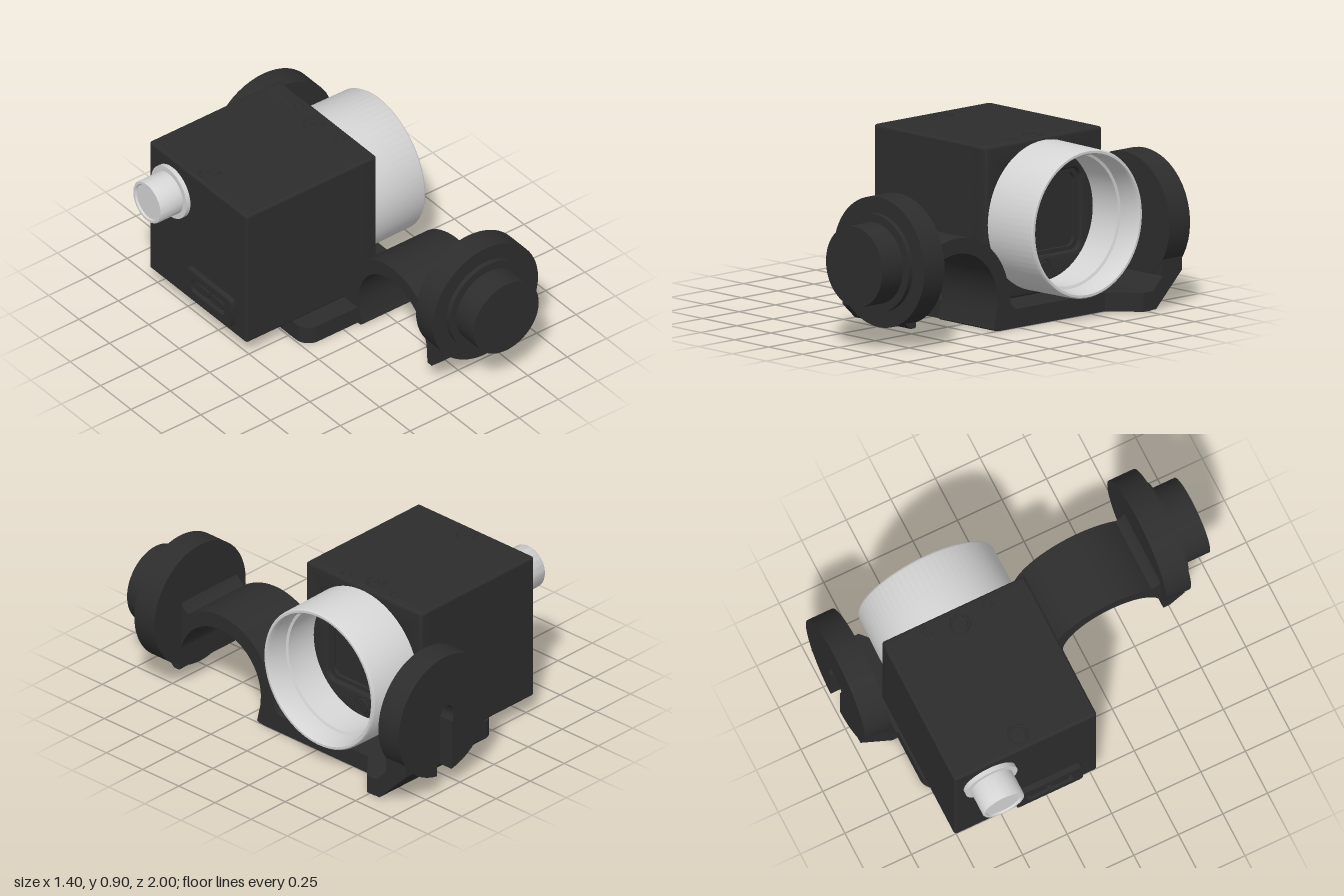
import * as THREE from 'three';
import { toCreasedNormals } from 'three/addons/utils/BufferGeometryUtils.js';
import { RoundedBoxGeometry } from 'three/addons/geometries/RoundedBoxGeometry.js';

const H = Math.PI / 2;

export function createModel() {
  const root = new THREE.Group();
  const black = new THREE.MeshStandardMaterial({ color: 0x2d2d2d });
  black.name = 'matte black';
  const silver = new THREE.MeshStandardMaterial({ color: 0xd4d4d4 });
  silver.name = 'silver metal';

  const add = (name, geo, mat = black, x = 0, y = 0, z = 0, parent = root) => {
    const m = new THREE.Mesh(geo, mat);
    m.name = name;
    m.position.set(x, y, z);
    parent.add(m);
    return m;
  };
  const extrude = (shape, depth, bevel = 0) => toCreasedNormals(new THREE.ExtrudeGeometry(shape, {
    depth: depth - 2 * bevel, curveSegments: 24, bevelEnabled: bevel > 0,
    bevelSize: bevel, bevelThickness: bevel, bevelOffset: -bevel, bevelSegments: 3,
  }).translate(0, 0, bevel), 0.6);
  // Profile in [z, y], extruded from x0 to x1
  const profileX = (pts, x0, x1) =>
    extrude(new THREE.Shape(pts.map(([z, y]) => new THREE.Vector2(-z, y))), x1 - x0).rotateY(H).translate(x0, 0, 0);
  const discZ = (r, z0, z1) =>
    new THREE.CylinderGeometry(r, r, z1 - z0, 64).rotateX(H).translate(0, 0, (z0 + z1) / 2);
  // Turned profile in [radius, x]
  const latheX = (pts) => toCreasedNormals(
    new THREE.LatheGeometry(pts.map(([r, x]) => new THREE.Vector2(r, x)), 72).rotateZ(-H), 0.6);
  const roundRect = (w, h, r, P = THREE.Shape) => {
    const s = new P(), a = w / 2 - r, b = h / 2 - r;
    s.absarc(a, b, r, 0, H);
    s.absarc(-a, b, r, H, 2 * H);
    s.absarc(-a, -b, r, 2 * H, 3 * H);
    s.absarc(a, -b, r, 3 * H, 4 * H);
    s.closePath();
    return s;
  };

  // Camera body, with a window pocket in the lens end
  add('body', new RoundedBoxGeometry(0.785, 0.8, 0.8, 3, 0.015), black, -0.1425, 0.5, -0.375);
  const face = roundRect(0.8, 0.8, 0.016);
  face.holes.push(roundRect(0.5, 0.42, 0.05, THREE.Path));
  add('lensPlate', extrude(face, 0.115, 0.015).rotateY(H), black, 0.18, 0.5, -0.375);
  const frame = roundRect(0.5, 0.42, 0.05);
  frame.holes.push(roundRect(0.46, 0.38, 0.045, THREE.Path));
  add('windowFrame', extrude(frame, 0.02).rotateY(H), black, 0.25, 0.5, -0.375);

  // Lens barrel: open ring with an inner step
  add('lensBarrel', latheX([
    [0.338, 0.29], [0.338, 0.48], [0.352, 0.485], [0.352, 0.6], [0.362, 0.618],
    [0.374, 0.618], [0.381, 0.608], [0.385, 0.29], [0.338, 0.29],
  ].reverse()), silver, 0, 0.5, -0.37).material.side = THREE.DoubleSide;

  // Round connector on the rear end
  add('cableConnector', latheX([
    [0, -0.69], [0.095, -0.69], [0.1, -0.7], [0.112, -0.7], [0.116, -0.694],
    [0.116, -0.56], [0.145, -0.56], [0.145, -0.53],
  ]), silver, 0, 0.705, -0.58);

  // Rectangular port with two sockets
  const port = new THREE.Group();
  port.name = 'dataPort';
  port.position.set(-0.565, 0.24, -0.255);
  root.add(port);
  const rim = roundRect(0.37, 0.165, 0.02);
  rim.holes.push(roundRect(0.27, 0.085, 0.02, THREE.Path));
  add('portRim', extrude(rim, 0.04).rotateY(H), black, 0, 0, 0, port);
  for (const s of [-1, 1]) {
    add('portSocket', extrude(roundRect(0.1, 0.045, 0.015), 0.03).rotateY(H), black, 0.008, 0, s * 0.06, port);
  }

  // Screws with cross heads, built facing up
  const screw = (x, y, z, turn = 0) => {
    const g = new THREE.Group();
    g.name = 'screw';
    g.position.set(x, y, z);
    g.rotation.z = turn;
    root.add(g);
    add('screwRim', new THREE.TorusGeometry(0.052, 0.004, 6, 32).rotateX(H), black, 0, 0, 0, g);
    add('screwHead', new THREE.CylinderGeometry(0.038, 0.042, 0.008, 32), black, 0, 0.002, 0, g);
    for (const a of [0, H]) {
      add('screwCross', new THREE.BoxGeometry(0.045, 0.004, 0.009).rotateY(a), black, 0, 0.007, 0, g);
    }
  };
  screw(-0.455, 0.9, -0.38);
  screw(0.205, 0.9, -0.38);
  screw(0.295, 0.785, -0.37, -H);
  screw(0.295, 0.22, -0.37, -H);
  for (const z of [-0.545, -0.21]) {
    add('pinHole', new THREE.TorusGeometry(0.024, 0.003, 6, 24).rotateX(H), black, 0.24, 0.9, z);
  }

  // Base plate under the body, flared toward the rear arm
  const plate = new THREE.Shape();
  plate.moveTo(0.5, -0.13);
  plate.lineTo(0.5, 0.6);
  plate.lineTo(0.645, 0.73);
  plate.lineTo(0.645, 0.785);
  plate.lineTo(-0.16, 0.785);
  plate.absarc(-0.16, 0.705, 0.08, H, 2 * H);
  plate.absarc(-0.16, -0.05, 0.08, 2 * H, 3 * H);
  plate.closePath();
  add('basePlate', extrude(plate, 0.097).rotateX(-H), black, 0, 0.004, 0);

  // Arched strap joining the base to the front disc
  const arc = (r, a0, a1, n = 32) => Array.from({ length: n + 1 }, (_, i) => {
    const a = a0 + (a1 - a0) * i / n;
    return [0.42 + r * Math.cos(a), 0.16 + r * Math.sin(a)];
  });
  add('archStrap', profileX([
    [0, 0.006], [0.15, 0.006], [0.166, 0.015], [0.16, 0.04], [0.144, 0.11],
    ...arc(0.28, Math.PI, 0),
    [0.705, 0.1], [0.74, 0.1], [0.825, 0.18], [0.825, 0.4], [0.75, 0.49], [0.69, 0.49], [0.67, 0.46],
    ...arc(0.36, 0.915, Math.PI - 0.1),
    [0.055, 0.16], [0.045, 0.125], [0.02, 0.102], [0, 0.1],
  ], 0.09, 0.5), black);

  // Stepped front disc
  for (const [name, r, z0, z1] of [
    ['frontDisc', 0.334, 0.69, 0.83], ['frontStep', 0.25, 0.82, 0.857], ['frontKnob', 0.207, 0.85, 1],
  ]) add(name, discZ(r, z0, z1), black, 0.362, 0.435, 0);

  // Rear arm sloping up to the rear disc, leaving its slot clear
  for (const [x0, x1, back] of [[0.09, 0.312, -0.995], [0.312, 0.418, -0.92], [0.418, 0.645, -0.995]]) {
    add('rearArm', profileX([
      [-0.76, 0.006], [-0.76, 0.1], [-0.795, 0.1], [-0.862, 0.17], [-0.862, 0.38],
      [back, 0.38], [back, -0.81 - back], [-0.816, 0.006],
    ], x0, x1), black);
  }

  // Rear disc with a keyhole slot open at the bottom
  add('rearDisc', discZ(0.334, -0.92, -0.86), black, 0.365, 0.435, 0);
  const slotted = new THREE.Shape(), w = 0.053, g = Math.asin(w / 0.334), k = Math.asin(w / 0.07);
  slotted.absarc(0, 0, 0.334, -H + g, 3 * H - g, false);
  slotted.absarc(0, -0.015, 0.07, 3 * H - k, -H + k, true);
  slotted.closePath();
  add('rearDiscSlotted', extrude(slotted, 0.08), black, 0.365, 0.435, -1);

  return root;
}
